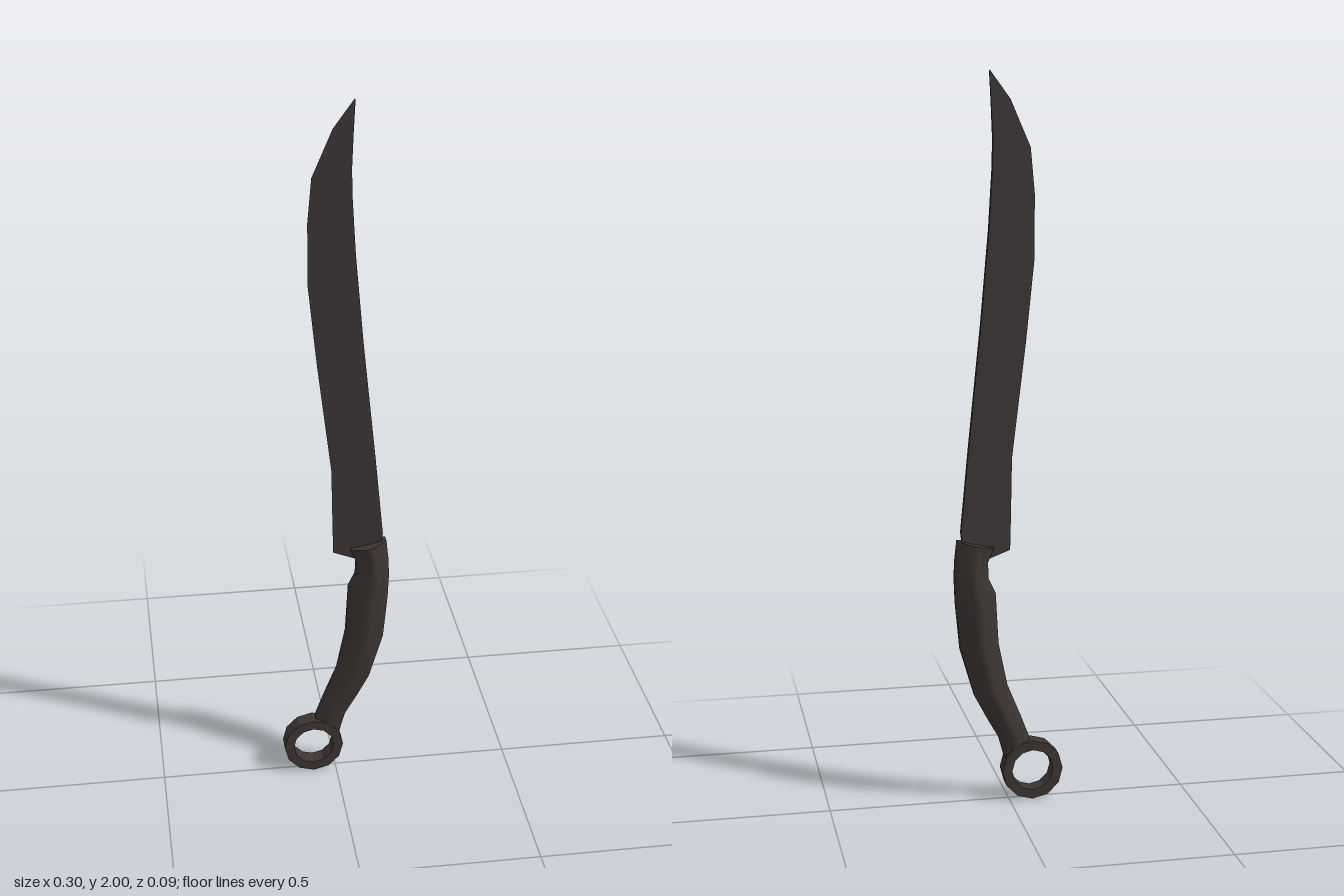
import * as THREE from 'three';

const bladeMat = new THREE.MeshStandardMaterial({ color: 0x3d3637 });
bladeMat.name = 'dark steel';
const gripMat = new THREE.MeshStandardMaterial({ color: 0x3c3533 });
gripMat.name = 'dark grip';

// Skins a stack of equal-sized sections (bottom to top, counterclockwise from above) and caps both ends
function loft(sections) {
  const n = sections[0].length;
  const last = sections.length - 1;
  const pos = sections.flat(2);
  const index = [];
  for (let i = 0; i < last; i++) {
    for (let j = 0; j < n; j++) {
      const a = i * n + j, b = i * n + (j + 1) % n;
      index.push(a, b, b + n, a, b + n, a + n);
    }
  }
  const bottom = pos.length / 3, top = bottom + n;
  pos.push(...sections[0].flat(), ...sections[last].flat());
  for (let j = 1; j < n - 1; j++) {
    index.push(bottom, bottom + j + 1, bottom + j, top, top + j, top + j + 1);
  }
  const geo = new THREE.BufferGeometry();
  geo.setAttribute('position', new THREE.Float32BufferAttribute(pos, 3));
  geo.setIndex(index);
  return geo;
}

function makeBlade() {
  // cutting edge x, y, spine x, y, half thickness of the spine
  const rows = [
    [-0.005, 0.715, 0.12, 0.67, 0.008],
    [-0.007, 0.8, 0.132, 0.77, 0.008],
    [-0.01, 0.97, 0.11, 1.0, 0.008],
    [-0.048, 1.285, 0.075, 1.34, 0.008],
    [-0.071, 1.51, 0.053, 1.59, 0.008],
    [-0.071, 1.68, 0.044, 1.74, 0.008],
    [-0.06, 1.8, 0.042, 1.82, 0.007],
    [-0.006, 1.925, 0.046, 1.91, 0.004],
    [0.049, 2.0, 0.051, 1.998, 0.001],
  ];
  const geo = loft(rows.map(([ex, ey, sx, sy, t]) => [[sx, sy, t], [sx, sy, -t], [ex, ey, 0]])).toNonIndexed();
  geo.computeVertexNormals();
  return new THREE.Mesh(geo, bladeMat);
}

function makeGrip() {
  // belly x, y, back x, y, half thickness
  const rows = [
    [-0.058, 0.157, 0.01, 0.115, 0.022],
    [-0.057, 0.18, 0.028, 0.18, 0.023],
    [-0.032, 0.245, 0.062, 0.24, 0.028],
    [0.005, 0.335, 0.096, 0.305, 0.035],
    [0.03, 0.455, 0.135, 0.44, 0.045],
    [0.038, 0.6, 0.147, 0.57, 0.046],
    [0.057, 0.64, 0.15, 0.64, 0.044],
    [0.059, 0.685, 0.148, 0.69, 0.041],
    [0.042, 0.725, 0.142, 0.748, 0.035],
  ];
  // faceted oval: fraction from belly to back, fraction of half thickness
  const oval = [[1, 0.3], [1, -0.3], [0.6, -1], [0.4, -1], [0, -0.3], [0, 0.3], [0.4, 1], [0.6, 1]];
  const geo = loft(rows.map(([bx, by, kx, ky, t]) =>
    oval.map(([f, d]) => [bx + (kx - bx) * f, by + (ky - by) * f, t * d])));
  geo.computeVertexNormals();
  return new THREE.Mesh(geo, gripMat);
}

function makeRing() {
  const polygon = (r) => Array.from({ length: 12 }, (_, i) => {
    const a = (i / 12) * Math.PI * 2;
    return new THREE.Vector2(Math.cos(a) * r, Math.sin(a) * r);
  });
  const shape = new THREE.Shape(polygon(0.085));
  shape.holes.push(new THREE.Path(polygon(0.058)));
  const geo = new THREE.ExtrudeGeometry(shape, { depth: 0.046, bevelEnabled: false });
  geo.translate(-0.065, 0.085, -0.023);
  return new THREE.Mesh(geo, gripMat);
}

export function createModel() {
  const model = new THREE.Group();
  model.name = 'knife';
  const parts = { blade: makeBlade(), grip: makeGrip(), pommelRing: makeRing() };
  for (const [name, mesh] of Object.entries(parts)) {
    mesh.name = name;
    model.add(mesh);
  }
  return model;
}
